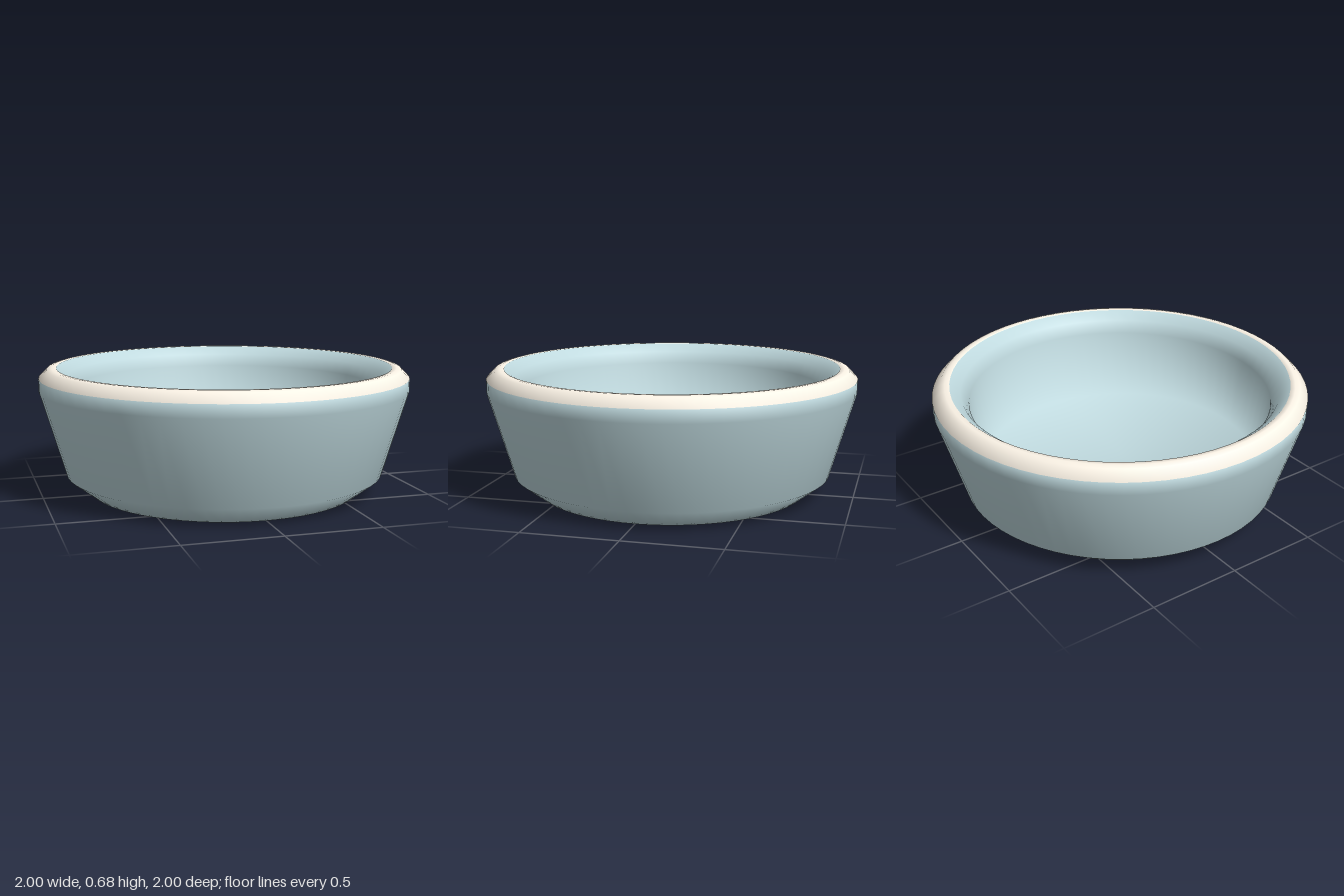
import * as THREE from 'three';

const SEGMENTS = 64;

// Closed profile (radius, height): underside, outer wall, rim, then the hollow.
const underAndWall = [[0, 0], [0.735, 0], [0.865, 0.1], [1, 0.56]];
const rimEdge = [[1, 0.628], [0.955, 0.674], [0.93, 0.681], [0.905, 0.68]];
const hollow = [[0.85, 0.635], [0.81, 0.57], [0.745, 0.19], [0, 0.19]];

const profile = [...underAndWall, ...rimEdge, ...hollow];

// Keep only the bands of the lathe whose profile row passes the test.
function bands(lathe, keep) {
  const geometry = lathe.clone();
  const rows = profile.length - 1;
  const index = [];
  for (let f = 0; f < lathe.index.count; f += 6) {
    if (!keep((f / 6) % rows)) continue;
    for (let k = 0; k < 6; k++) index.push(lathe.index.getX(f + k));
  }
  geometry.setIndex(index);
  return geometry;
}

export function createModel() {
  const group = new THREE.Group();
  group.name = 'bowl';

  const lathe = new THREE.LatheGeometry(
    profile.map(([r, y]) => new THREE.Vector2(r, y)), SEGMENTS);

  // The rim shares its normals with the body, so shading flows across the colour change.
  const first = underAndWall.length;
  const last = first + rimEdge.length - 1;
  const isRim = (row) => row >= first && row < last;

  const addPart = (name, color, keep) => {
    const mesh = new THREE.Mesh(bands(lathe, keep), new THREE.MeshStandardMaterial({ color }));
    mesh.name = name;
    group.add(mesh);
  };
  addPart('bowlBody', 0xbfd9de, (row) => !isRim(row));
  addPart('rim', 0xfaf2e5, isRim);

  return group;
}
